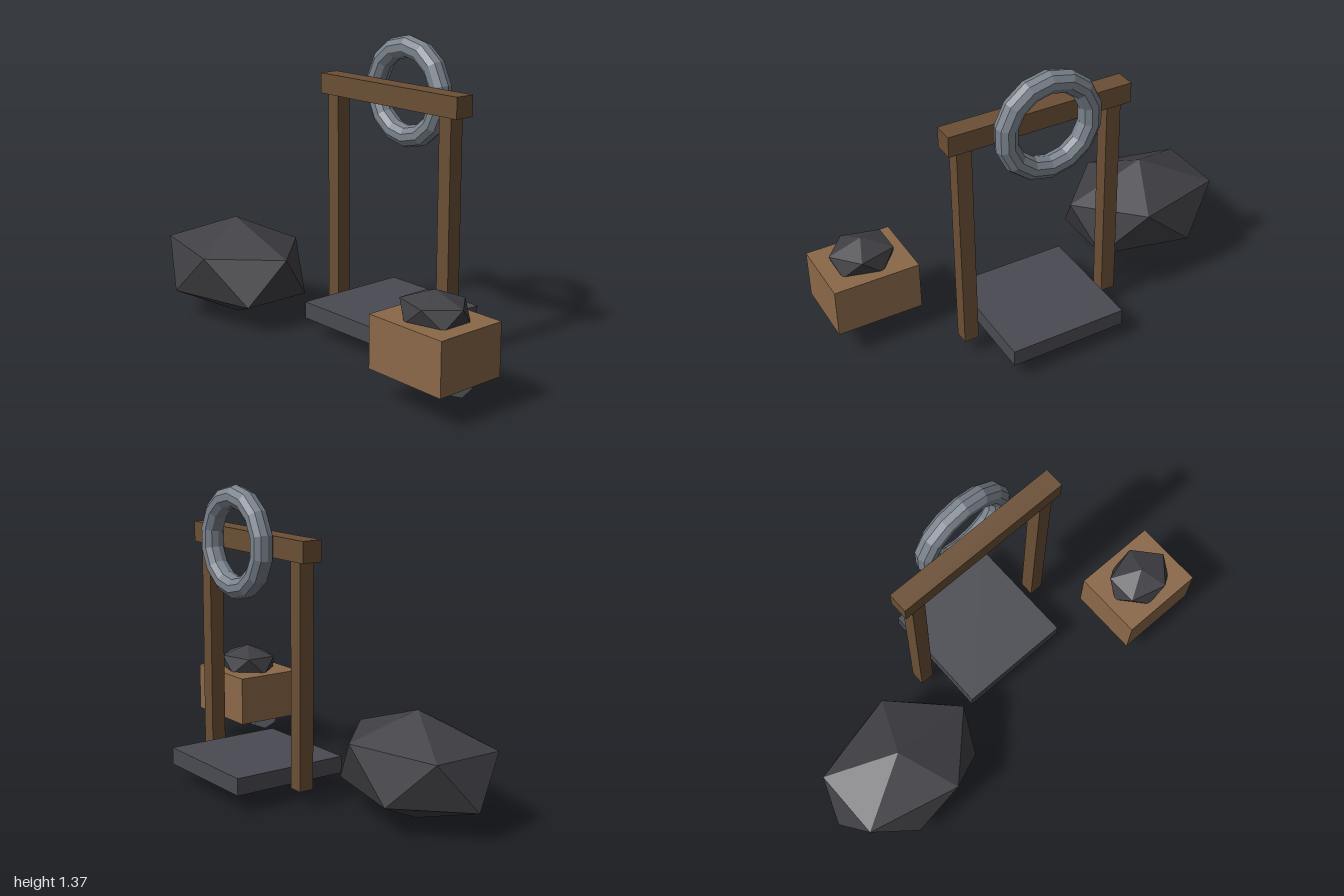
import * as THREE from 'three';
import { ConvexGeometry } from 'three/addons/geometries/ConvexGeometry.js';

const paint = (color) => new THREE.MeshStandardMaterial({ color, flatShading: true });

export function createModel() {
  const model = new THREE.Group();
  const timber = paint(0x6b4f35);
  const crateWood = paint(0x8b6848);
  const stone = paint(0x4a4a52);
  const coal = paint(0x3f3f44);
  const metal = paint(0x7a828c);

  function add(name, geometry, material, x, y, z) {
    const mesh = new THREE.Mesh(geometry, material);
    mesh.name = name;
    mesh.position.set(x, y, z);
    model.add(mesh);
    return mesh;
  }

  // Box given by its minimum and maximum corners
  function block(name, material, [x0, y0, z0], [x1, y1, z1]) {
    add(name, new THREE.BoxGeometry(x1 - x0, y1 - y0, z1 - z0), material,
      (x0 + x1) / 2, (y0 + y1) / 2, (z0 + z1) / 2);
  }

  // Stretched icosahedron standing on a vertex: two poles and two staggered rings of five
  function rock(name, x, y, z, ringX, halfHeight, ringZ) {
    const points = [new THREE.Vector3(0, halfHeight, 0), new THREE.Vector3(0, -halfHeight, 0)];
    for (let i = 0; i < 10; i++) {
      const a = (i * Math.PI) / 5;
      const side = i % 2 ? -1 : 1;
      points.push(new THREE.Vector3(
        ringX * Math.cos(a), side * halfHeight * 0.447, ringZ * Math.sin(a)));
    }
    add(name, new ConvexGeometry(points), coal, x, y, z);
  }

  // Gate frame
  const centre = 0.13;
  for (const side of [-1, 1]) {
    const x = centre + side * 0.355;
    block(side < 0 ? 'rightPost' : 'leftPost', timber,
      [x - 0.034, 0.083, -0.187], [x + 0.034, 1.077, -0.118]);
  }
  block('crossbeam', timber, [-0.3, 1.075, -0.202], [0.56, 1.168, -0.108]);

  // Floor slab
  block('floorSlab', stone, [-0.145, 0.083, -0.43], [0.405, 0.16, 0.12]);

  // Wheel ring behind the beam, with a vertex at its top
  const ring = new THREE.TorusGeometry(0.2, 0.05, 10, 14);
  ring.rotateZ(Math.PI / 2);
  add('ring', ring, metal, centre, 1.12, -0.248);

  // Cart on two octagonal wheels, loaded with a small rock
  block('cartBody', crateWood, [0.6, 0.14, 0.075], [1.0, 0.37, 0.405]);
  for (const side of [-1, 1]) {
    const wheel = new THREE.CylinderGeometry(0.08, 0.08, 0.043, 8);
    wheel.rotateZ(Math.PI / 2);
    add(side < 0 ? 'rightWheel' : 'leftWheel', wheel, metal, 0.8 + side * 0.134, 0.163, 0.24);
  }
  rock('cartRock', 0.8, 0.4, 0.24, 0.152, 0.088, 0.127);

  // Large boulder
  rock('boulder', -0.615, 0.238, 0.16, 0.385, 0.236, 0.283);

  return model;
}
